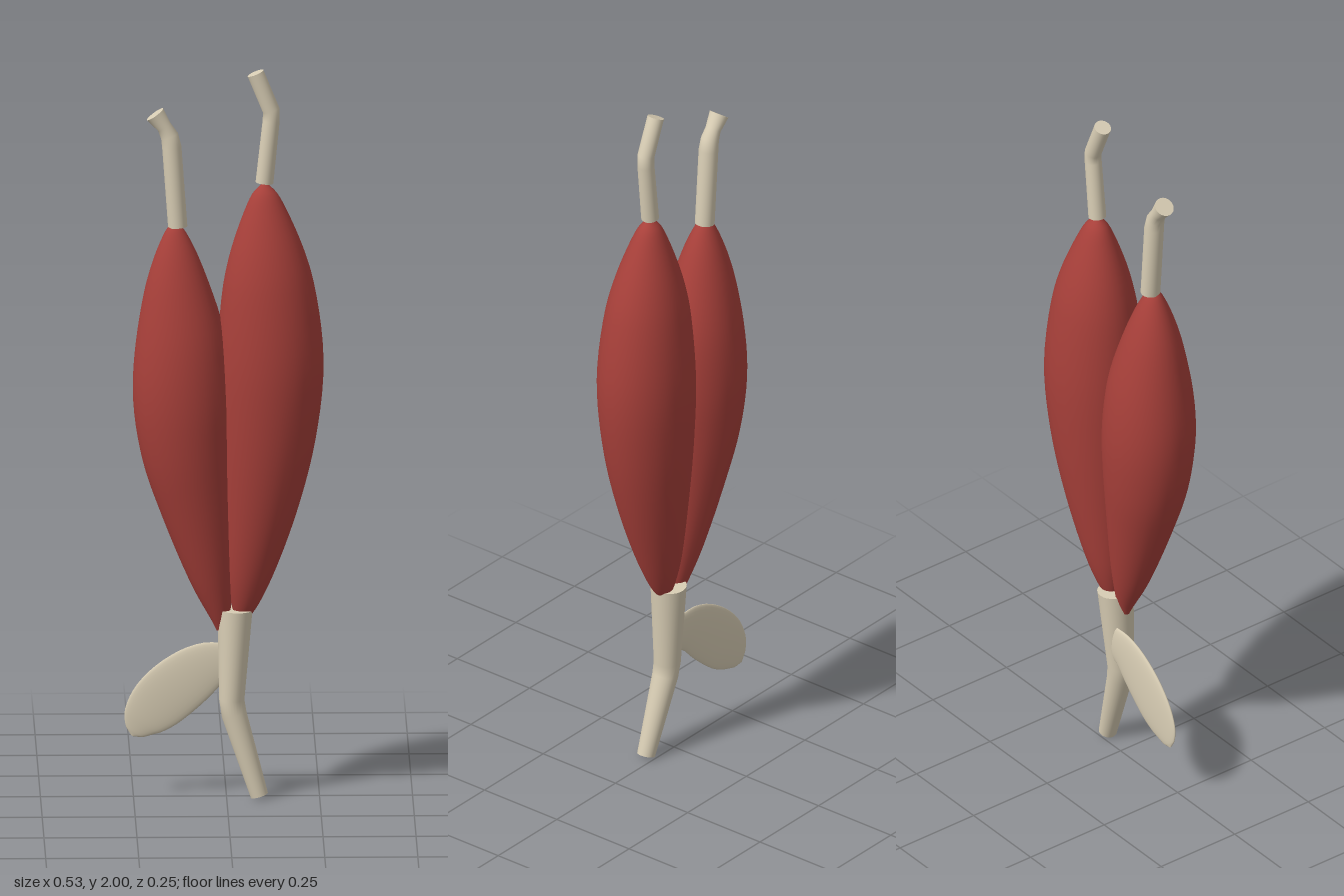
import * as THREE from 'three';

const SIDES = 28;

// Smoothly resample rows of [x, y, z, halfWidth, halfDepth]
function smooth(rows, steps) {
  const centre = new THREE.CatmullRomCurve3(rows.map(r => new THREE.Vector3(r[0], r[1], r[2])));
  const size = new THREE.CatmullRomCurve3(rows.map(r => new THREE.Vector3(r[3], r[4], r[1])));
  return Array.from({ length: steps + 1 }, (_, i) => {
    const p = centre.getPoint(i / steps), s = size.getPoint(i / steps);
    return [p.x, p.y, p.z, Math.max(s.x, 0.002), Math.max(s.y, 0.002)];
  });
}

// Loft elliptical rings square to a spine, with flat end caps
function loft(rows) {
  const pos = [], index = [], n = rows.length;
  const ring = i => {
    const [x, y, z, w, d] = rows[i];
    const a = rows[Math.max(i - 1, 0)], b = rows[Math.min(i + 1, n - 1)];
    const t = new THREE.Vector2(b[0] - a[0], b[1] - a[1]).normalize();
    for (let j = 0; j < SIDES; j++) {
      const c = Math.cos(j / SIDES * Math.PI * 2) * w, s = Math.sin(j / SIDES * Math.PI * 2) * d;
      pos.push(x + t.y * c, y - t.x * c, z + s);
    }
  };
  for (let i = 0; i < n; i++) ring(i);
  for (let i = 0; i < n - 1; i++) {
    for (let j = 0; j < SIDES; j++) {
      const k = (j + 1) % SIDES, p = i * SIDES, q = p + SIDES;
      index.push(p + j, q + j, p + k, p + k, q + j, q + k);
    }
  }
  for (const i of [0, n - 1]) {
    const base = pos.length / 3;
    ring(i);
    const centre = pos.length / 3;
    pos.push(rows[i][0], rows[i][1], rows[i][2]);
    for (let j = 0; j < SIDES; j++) {
      const k = (j + 1) % SIDES;
      if (i === 0) index.push(centre, base + j, base + k);
      else index.push(centre, base + k, base + j);
    }
  }
  const g = new THREE.BufferGeometry();
  g.setAttribute('position', new THREE.Float32BufferAttribute(pos, 3));
  g.setIndex(index);
  g.computeVertexNormals();
  return g;
}

export function createModel() {
  const group = new THREE.Group();
  const red = new THREE.MeshStandardMaterial({ name: 'muscleRed', color: 0xa8403a });
  const bone = new THREE.MeshStandardMaterial({ name: 'tendonCream', color: 0xd8cdb4 });
  const add = (name, rows, material) => {
    const mesh = new THREE.Mesh(loft(rows), material);
    mesh.name = name;
    group.add(mesh);
  };

  // Muscle bellies: [y, centre x, half width], slightly flattened in depth
  const belly = (name, rows, z, flat) =>
    add(name, smooth(rows.map(([y, x, w]) => [x, y, z, w, w * flat]), 48), red);
  belly('longBelly', [
    [0.485, 0.035, 0.012], [0.52, 0.045, 0.032], [0.6, 0.058, 0.06], [0.8, 0.088, 0.103],
    [1.0, 0.109, 0.132], [1.2, 0.118, 0.143], [1.4, 0.113, 0.124], [1.5, 0.109, 0.1],
    [1.6, 0.105, 0.063], [1.66, 0.103, 0.034], [1.69, 0.103, 0.006],
  ], 0, 0.89);
  belly('shortBelly', [
    [0.46, -0.015, 0.012], [0.5, -0.018, 0.028], [0.6, -0.04, 0.057], [0.8, -0.08, 0.098],
    [0.95, -0.105, 0.123], [1.1, -0.117, 0.134], [1.25, -0.122, 0.123], [1.4, -0.132, 0.089],
    [1.5, -0.136, 0.055], [1.56, -0.138, 0.026], [1.58, -0.138, 0.01],
  ], 0.005, 0.91);

  // Upper tendons
  add('longTendon', [
    [0.102, 1.69, 0, 0.024, 0.024], [0.12, 1.86, 0, 0.023, 0.023],
    [0.12, 1.89, 0, 0.023, 0.023], [0.078, 1.992, 0, 0.023, 0.023],
  ], bone);
  add('shortTendon', [
    [-0.131, 1.57, 0, 0.026, 0.027], [-0.147, 1.79, 0, 0.026, 0.027],
    [-0.153, 1.82, 0, 0.024, 0.025], [-0.167, 1.845, 0, 0.02, 0.022],
    [-0.192, 1.88, 0, 0.027, 0.027],
  ], bone);

  // Lower tendon, bending outward at mid length
  add('lowerTendon', [
    [0.088, 0.008, 0.025, 0.024, 0.025], [0.02, 0.23, 0.014, 0.034, 0.036],
    [0.014, 0.27, 0.012, 0.034, 0.038], [0.023, 0.515, 0, 0.047, 0.05],
  ], bone);

  // Flat leaf-shaped sheet springing from the lower tendon
  add('tendonSheet', smooth([
    [0.005, 0.37, -0.022, 0.05, 0.008], [-0.055, 0.352, -0.022, 0.068, 0.01],
    [-0.12, 0.308, -0.023, 0.08, 0.011], [-0.185, 0.25, -0.025, 0.077, 0.01],
    [-0.225, 0.205, -0.026, 0.058, 0.008], [-0.246, 0.173, -0.027, 0.028, 0.005],
    [-0.253, 0.162, -0.027, 0.004, 0.002],
  ], 24), bone);

  return group;
}
